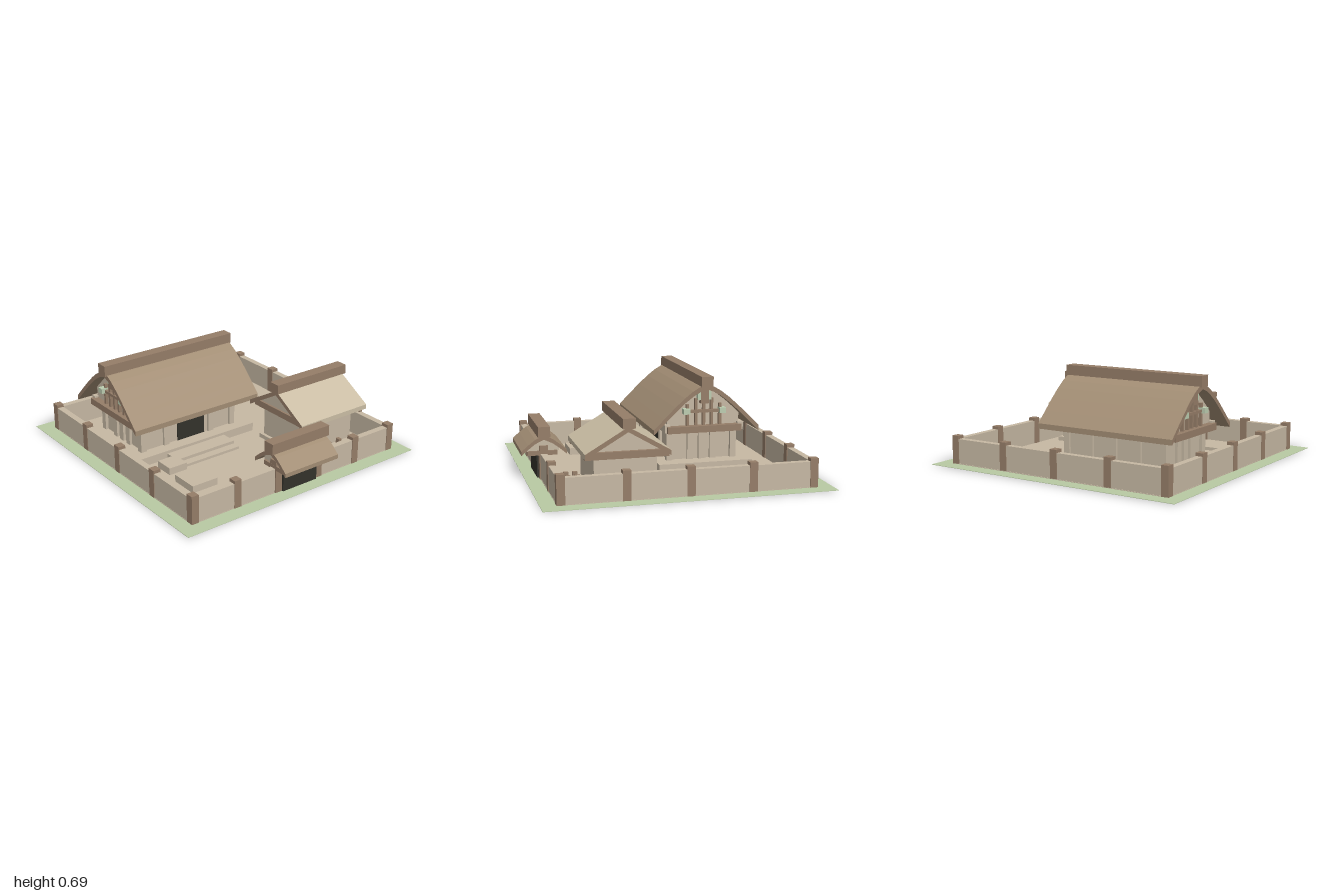
import * as THREE from 'three';

const mat = (name, color) => {
  const m = new THREE.MeshStandardMaterial({ color });
  m.name = name;
  return m;
};

export function createModel() {
  const model = new THREE.Group();
  model.name = 'walledHouse';
  const plaster = mat('plaster', 0xc6b8a3);
  const paleTile = mat('paleTile', 0xcabda4);
  const thatch = mat('thatch', 0xa28d74);
  const wood = mat('wood', 0x957d68);
  const dark = mat('darkDoor', 0x33322b);
  const grass = mat('grass', 0xb9caa3);
  const copper = mat('paleGreen', 0xbccdb0);

  const group = (name) => {
    const g = new THREE.Group();
    g.name = name;
    model.add(g);
    return g;
  };
  // Box given by its ranges on x, y and z
  const box = (parent, name, m, [x0, x1], [y0, y1], [z0, z1]) => {
    const mesh = new THREE.Mesh(new THREE.BoxGeometry(x1 - x0, y1 - y0, z1 - z0), m);
    mesh.position.set((x0 + x1) / 2, (y0 + y1) / 2, (z0 + z1) / 2);
    mesh.name = name;
    parent.add(mesh);
    return mesh;
  };
  const around = (c, size) => [c - size / 2, c + size / 2];

  // Cross-section in z and y, stretched along x
  const prism = (parent, name, mats, pts, [x0, x1], z) => {
    const shape = new THREE.Shape(pts.map(([a, b]) => new THREE.Vector2(a, b)));
    const geo = new THREE.ExtrudeGeometry(shape, { depth: x1 - x0, bevelEnabled: false });
    geo.rotateY(Math.PI / 2);
    const mesh = new THREE.Mesh(geo, mats);
    mesh.position.set(x0, 0, z);
    mesh.name = name;
    parent.add(mesh);
  };
  const mirrored = (half) => [
    ...half.slice(1).reverse().map(([a, b]) => [-a, b]), ...half,
  ];
  // Roof shell: half profile runs from the ridge to the eave
  const roof = (parent, cover, half, t, xs, z) => {
    const outer = mirrored(half);
    const inner = outer.map(([a, b]) => [a, b - t]).reverse();
    prism(parent, 'roof', [wood, cover], [...outer, ...inner], xs, z);
  };
  // Gable filling under a roof, down to a base height
  const gable = (parent, half, t, width, base, xs, z) => {
    const pts = mirrored(half.filter(([a]) => a < width)).map(([a, b]) => [a, b - t * 0.8]);
    const i = half.findIndex(([a]) => a >= width);
    const [a0, b0] = half[i - 1];
    const [a1, b1] = half[i];
    const y = b0 + (b1 - b0) * (width - a0) / (a1 - a0) - t * 0.8;
    prism(parent, 'gable', plaster,
      [[-width, base], [-width, y], ...pts, [width, y], [width, base]], xs, z);
  };

  // Ground and courtyard
  const yard = group('yard');
  box(yard, 'lawn', grass, [-0.985, 0.985], [0.002, 0.005], [-1, 0.975]);
  box(yard, 'courtyard', plaster, [-0.88, 0.88], [0, 0.009], [-0.895, 0.868]);

  // Boundary wall
  const wall = group('boundaryWall');
  const X = 0.855, ZB = -0.867, ZF = 0.843, T = 0.046;
  for (const s of [-1, 1]) {
    box(wall, 'sideWall', plaster, around(s * X, T), [0.005, 0.183], [ZB, ZF]);
    box(wall, 'frontWall', plaster, s < 0 ? [-X, -0.17] : [0.17, X], [0.005, 0.183], around(ZF, T));
  }
  box(wall, 'backWall', plaster, [-X, X], [0.005, 0.183], around(ZB, T));
  const post = (x, z) => box(wall, 'wallPost', wood, around(x, 0.054), [0, 0.205], around(z, 0.056));
  for (let i = 0; i < 5; i++) {
    const z = ZB + (ZF - ZB) * i / 4;
    post(-X, z);
    post(X, z);
    if (i > 0 && i < 4) post(X * (i - 2) / 2, ZB);
  }
  post(-0.517, ZF);
  post(0.517, ZF);

  // Gatehouse
  const gate = group('gatehouse');
  const gateHalf = [[0, 0.318], [0.06, 0.29], [0.11, 0.252], [0.156, 0.212]];
  box(gate, 'gateDoor', dark, [-0.148, 0.146], [0, 0.17], [0.835, 0.885]);
  box(gate, 'lintel', wood, [-0.2, 0.2], [0.17, 0.2], [0.82, 0.88]);
  for (const s of [-1, 1]) {
    box(gate, 'gatePost', wood, around(s * 0.177, 0.055), [0, 0.24], around(ZF, 0.06));
    box(gate, 'tieBeam', wood, around(s * 0.185, 0.04), [0.174, 0.205], around(0.852, 0.205));
  }
  gable(gate, gateHalf, 0.03, 0.11, 0.2, [-0.19, 0.19], 0.845);
  roof(gate, thatch, gateHalf, 0.03, [-0.232, 0.228], 0.844);
  box(gate, 'ridgeBeam', wood, [-0.247, 0.245], [0.305, 0.38], around(0.844, 0.083));

  // Storehouse
  const store = group('storehouse');
  const storeHalf = [[0, 0.47], [0.285, 0.303]];
  box(store, 'plinth', plaster, [0.24, 0.75], [0.005, 0.04], [0.155, 0.625]);
  box(store, 'walls', plaster, [0.265, 0.725], [0.03, 0.3], [0.18, 0.6]);
  gable(store, storeHalf, 0.035, 0.24, 0.29, [0.25, 0.74], 0.387);
  for (const x of [0.248, 0.757]) {
    box(store, 'tieBeam', wood, around(x, 0.027), [0.256, 0.303], around(0.387, 0.562));
  }
  roof(store, paleTile, storeHalf, 0.034, [0.192, 0.804], 0.387);
  box(store, 'ridgeBeam', wood, [0.177, 0.82], [0.46, 0.527], around(0.384, 0.085));
  // Small rack posts beside the storehouse
  for (const x of [0.45, 0.545]) {
    for (const z of [0.675, 0.735]) {
      box(store, 'rackPost', wood, around(x, 0.025), [0, 0.11], around(z, 0.032));
    }
  }

  // Main house
  const house = group('mainHouse');
  const cz = -0.304;
  const half = [[0, 0.63], [0.05, 0.612], [0.1, 0.583], [0.16, 0.537],
    [0.23, 0.474], [0.31, 0.396], [0.386, 0.32]];
  box(house, 'platform', plaster, [-0.78, 0.27], [0.005, 0.07], [-0.65, 0.04]);
  box(house, 'walls', plaster, [-0.64, 0.135], [0.06, 0.32], [-0.545, -0.06]);
  box(house, 'doorway', dark, [-0.345, -0.11], [0.07, 0.255], [-0.06, -0.053]);
  for (let i = 0; i < 5; i++) {
    const x = -0.64 + i * 0.194;
    for (const z of [-0.065, -0.54]) {
      if (i !== 2 || z < -0.1) {
        box(house, 'column', plaster, around(x, 0.045), [0.06, 0.3], around(z, 0.045));
      }
    }
  }
  for (const x of [-0.645, 0.14]) {
    for (const z of [-0.22, -0.304, -0.388]) {
      box(house, 'endColumn', plaster, around(x, 0.03), [0.06, 0.3], around(z, 0.045));
    }
  }
  for (const s of [-1, 1]) {
    box(house, 'eaveBeam', plaster, [-0.72, 0.215], [0.282, 0.338], around(cz + s * 0.27, 0.04));
  }
  gable(house, half, 0.04, 0.265, 0.3, [-0.69, 0.185], cz);

  // Timber lattice on both gables
  for (const s of [-1, 1]) {
    const xAt = (a, b) => {
      const p = -0.2525 + s * a, q = -0.2525 + s * b;
      return [Math.min(p, q), Math.max(p, q)];
    };
    box(house, 'tieBeam', wood, xAt(0.43, 0.49), [0.278, 0.325], around(cz, 0.545));
    box(house, 'latticeRail', wood, xAt(0.43, 0.465), [0.417, 0.437], around(cz, 0.3));
    for (const [dz, top] of [[0.12, 0.48], [0.058, 0.52], [0, 0.52]]) {
      for (const side of dz ? [-1, 1] : [1]) {
        box(house, 'latticePost', wood, xAt(0.43, 0.46), [0.32, top], around(cz + side * dz, 0.02));
      }
    }
    box(house, 'kingPost', wood, xAt(0.43, 0.48), [0.485, 0.585], around(cz, 0.058));
    for (const side of [-1, 1]) {
      box(house, 'purlinEnd', copper, xAt(0.43, 0.49), [0.412, 0.45], around(cz + side * 0.132, 0.046));
      box(house, 'upperPurlinEnd', copper, xAt(0.43, 0.475), [0.51, 0.57], around(cz + side * 0.036, 0.025));
    }
  }
  roof(house, thatch, half, 0.037, [-0.784, 0.278], cz);
  box(house, 'ridgeBeam', wood, [-0.799, 0.291], [0.61, 0.685], around(cz, 0.085));

  // Steps and low stone blocks in the yard
  box(house, 'upperStep', plaster, [-0.5, 0], [0.005, 0.05], [0.03, 0.16]);
  box(house, 'lowerStep', plaster, [-0.48, 0], [0.005, 0.028], [0.15, 0.22]);
  box(yard, 'stoneBlock', plaster, [-0.625, -0.48], [0.005, 0.06], [0.108, 0.25]);
  box(yard, 'plantingBed', plaster, [-0.645, -0.44], [0.005, 0.06], [0.345, 0.55]);
  return model;
}
